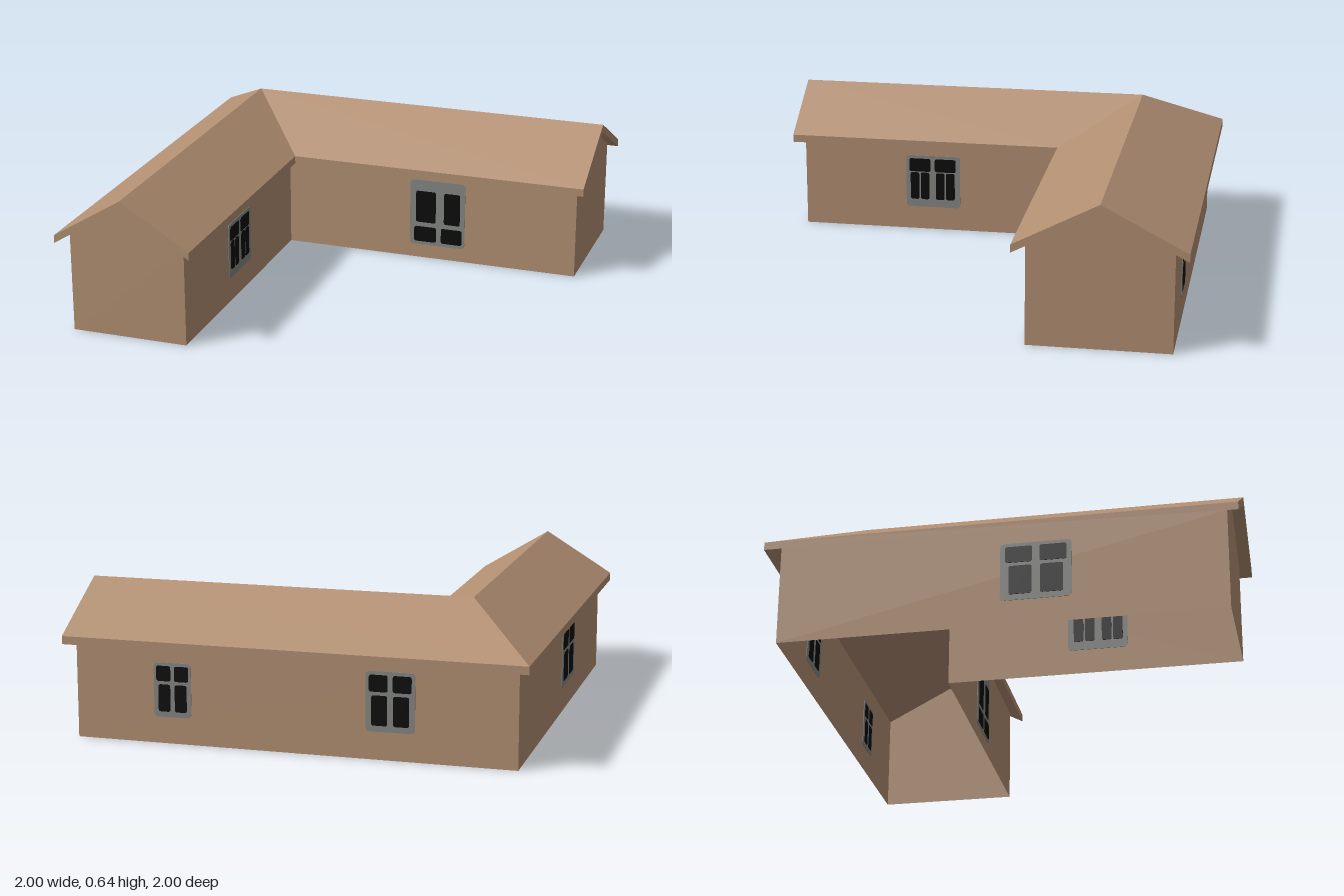
import * as THREE from 'three';

// Flat-faced surface from a list of convex polygons
function polygonGeometry(polygons) {
  const pos = [];
  for (const p of polygons) {
    for (let i = 1; i < p.length - 1; i++) pos.push(...p[0], ...p[i], ...p[i + 1]);
  }
  const g = new THREE.BufferGeometry();
  g.setAttribute('position', new THREE.Float32BufferAttribute(pos, 3));
  g.computeVertexNormals();
  return g;
}

// Thin rounded plate, centred on its own plane so it shows on both wall sides
function plateGeometry(x0, y0, x1, y1, r, depth) {
  const s = new THREE.Shape();
  s.moveTo(x0 + r, y0);
  s.lineTo(x1 - r, y0).quadraticCurveTo(x1, y0, x1, y0 + r);
  s.lineTo(x1, y1 - r).quadraticCurveTo(x1, y1, x1 - r, y1);
  s.lineTo(x0 + r, y1).quadraticCurveTo(x0, y1, x0, y1 - r);
  s.lineTo(x0, y0 + r).quadraticCurveTo(x0, y0, x0 + r, y0);
  const g = new THREE.ExtrudeGeometry(s, { depth, bevelEnabled: false, curveSegments: 3 });
  return g.translate(0, 0, -depth / 2);
}

// Pane layouts as fractions of the frame: [x0, y0, x1, y1]
const TALL_OVER_SHORT = [
  [0.11, 0.35, 0.47, 0.83], [0.62, 0.35, 0.91, 0.83],
  [0.08, 0.05, 0.48, 0.28], [0.57, 0.05, 0.95, 0.28],
];
const SHORT_OVER_NARROW = [
  [0.06, 0.69, 0.45, 0.94], [0.53, 0.69, 0.92, 0.94],
  [0.08, 0.15, 0.24, 0.67], [0.27, 0.15, 0.43, 0.67],
  [0.55, 0.15, 0.71, 0.67], [0.74, 0.15, 0.90, 0.67],
];
const SHORT_OVER_TALL = [
  [0.07, 0.66, 0.45, 0.94], [0.55, 0.66, 0.93, 0.94],
  [0.12, 0.10, 0.44, 0.60], [0.56, 0.10, 0.88, 0.60],
];

export function createModel() {
  const brown = new THREE.MeshStandardMaterial({ color: 0xb28f72, side: THREE.DoubleSide });
  brown.name = 'brown';
  const grey = new THREE.MeshStandardMaterial({ color: 0x858783 });
  grey.name = 'frameGrey';
  const black = new THREE.MeshStandardMaterial({ color: 0x0b0b0b });
  black.name = 'paneBlack';

  const house = new THREE.Group();
  house.name = 'house';
  const add = (parent, name, geometry, material) => {
    const m = new THREE.Mesh(geometry, material);
    m.name = name;
    parent.add(m);
    return m;
  };

  // Ridge lines and half widths of the two wings
  const RX = -0.69, RZ = -0.635, HX = 0.31, HZ = 0.365;

  // Roof: thick gable section swept around the mitred corner
  const section = [[-1, 0.415], [-1, 0.45], [0, 0.64], [1, 0.45], [1, 0.415], [0, 0.605]];
  const stations = [
    section.map(([s, y]) => [RX + HX * s, y, 1]),
    section.map(([s, y]) => [RX + HX * s, y, RZ + HZ * s]),
    section.map(([s, y]) => [1, y, RZ + HZ * s]),
  ];
  const roof = [];
  for (let k = 0; k < 2; k++) {
    for (let i = 0; i < 6; i++) {
      const j = (i + 1) % 6;
      roof.push([stations[k][i], stations[k][j], stations[k + 1][j], stations[k + 1][i]]);
    }
  }
  for (const cap of [[2, 1, 0, 5], [4, 3, 2, 5]]) {
    roof.push(cap.map((i) => stations[0][i]));
    roof.push([...cap].reverse().map((i) => stations[2][i]));
  }
  add(house, 'roof', polygonGeometry(roof), brown);

  // Walls: open L-shaped shell, with gables on the two wing ends
  const top = 0.444;
  const plan = [[-0.95, 0.95], [-0.425, 0.95], [-0.425, -0.325], [0.96, -0.325], [0.96, -0.94], [-0.95, -0.94]];
  const apexes = { 0: [RX, 0.604, 0.95], 3: [0.96, 0.604, RZ] };
  const walls = plan.map(([ax, az], i) => {
    const [bx, bz] = plan[(i + 1) % plan.length];
    const wall = [[ax, 0, az], [bx, 0, bz], [bx, top, bz]];
    if (apexes[i]) wall.push(apexes[i]);
    wall.push([ax, top, az]);
    return wall;
  });
  add(house, 'walls', polygonGeometry(walls), brown);

  // Windows: grey plate with slightly thicker dark panes
  const addWindow = (name, x, z, turn, w, y0, y1, panes) => {
    const win = new THREE.Group();
    win.name = name;
    const h = y1 - y0;
    add(win, 'windowFrame', plateGeometry(-w / 2, 0, w / 2, h, 0.02, 0.005), grey);
    for (const [a, b, c, d] of panes) {
      add(win, 'windowPane', plateGeometry((a - 0.5) * w, b * h, (c - 0.5) * w, d * h, 0.01, 0.009), black);
    }
    win.position.set(x, y0, z);
    win.rotation.y = turn;
    house.add(win);
  };
  const Q = Math.PI / 2;
  addWindow('frontWindow', 0.303, -0.325, 0, 0.265, 0.065, 0.385, TALL_OVER_SHORT);
  addWindow('courtWindow', -0.425, 0.33, Q, 0.26, 0.11, 0.365, SHORT_OVER_NARROW);
  addWindow('outerSideWindow', -0.95, 0.155, -Q, 0.3, 0.11, 0.37, SHORT_OVER_TALL);
  addWindow('backWindowLeft', 0.53, -0.94, 2 * Q, 0.165, 0.115, 0.35, SHORT_OVER_TALL);
  addWindow('backWindowRight', -0.415, -0.94, 2 * Q, 0.21, 0.12, 0.375, SHORT_OVER_TALL);

  return house;
}
